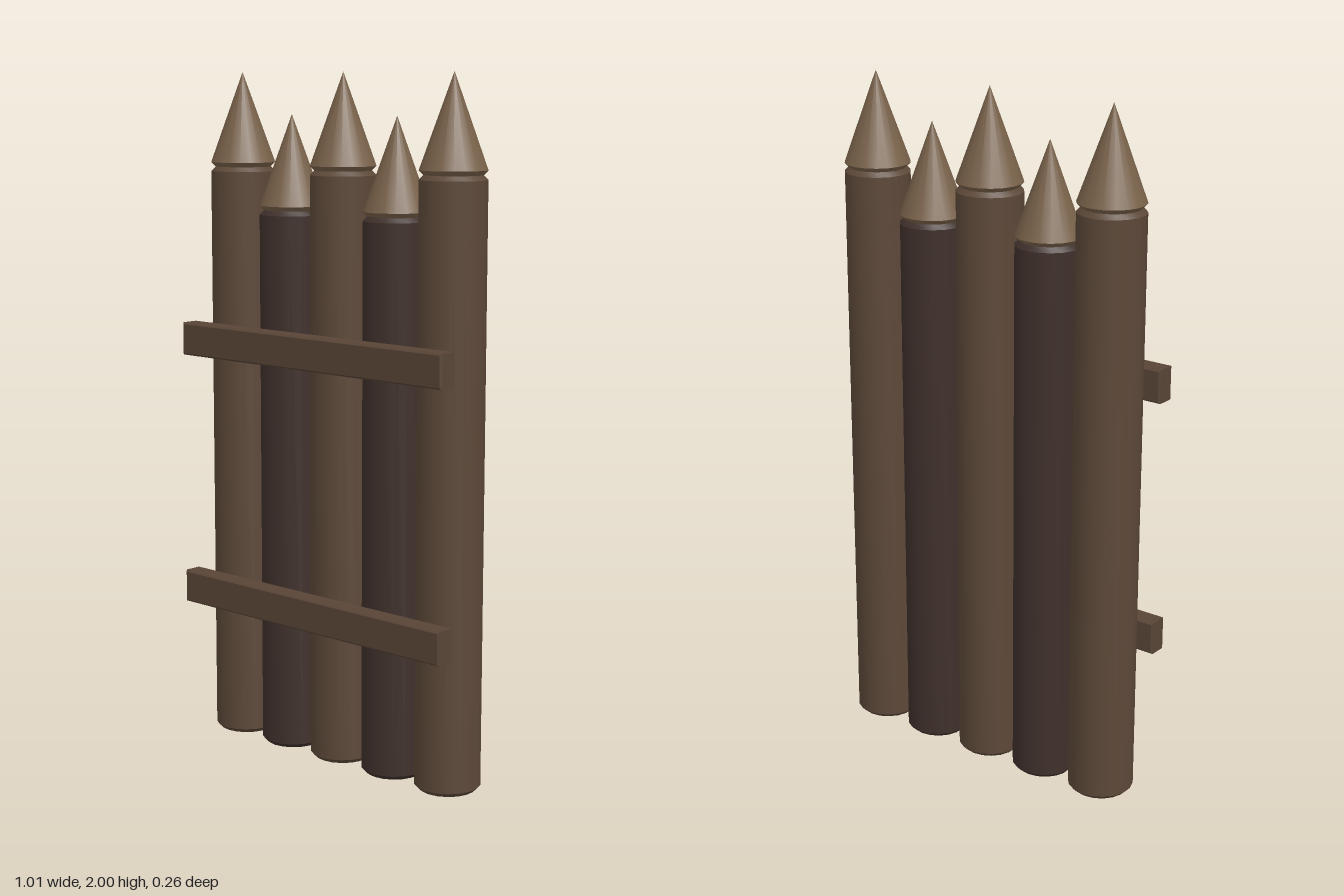
import * as THREE from 'three';
import { toCreasedNormals } from 'three/addons/utils/BufferGeometryUtils.js';

const SIDES = 18;
const RADIUS = 0.095;
const BEVEL = 0.013;
const POST_Z = -0.035;

const paint = (color) => new THREE.MeshStandardMaterial({ color });
const lightWood = paint(0x5c4838);
const darkWood = paint(0x3f302b);
const tipWood = paint(0x79624a);
const railWood = paint(0x594537);

// Turned solid from [radius, height] pairs, bottom to top
function turned(profile) {
  const points = profile.map(([r, y]) => new THREE.Vector2(r, y));
  return toCreasedNormals(new THREE.LatheGeometry(points, SIDES), Math.PI / 6);
}

// Round log with bevelled ends
function logGeometry(height) {
  const inner = RADIUS - BEVEL;
  return turned([[0, 0], [inner, 0], [RADIUS, BEVEL], [RADIUS, height - BEVEL], [inner, height], [0, height]]);
}

// Bar along x with chamfered edges
function railGeometry(length, height, depth, b) {
  const w = length / 2 - b, h = height / 2 - b, d = depth / 2 - b;
  const shape = new THREE.Shape([
    new THREE.Vector2(-w, -h), new THREE.Vector2(w, -h),
    new THREE.Vector2(w, h), new THREE.Vector2(-w, h),
  ]);
  const geometry = new THREE.ExtrudeGeometry(shape, {
    depth: 2 * d, bevelEnabled: true, bevelSize: b, bevelThickness: b, bevelSegments: 1,
  });
  return geometry.translate(0, 0, -d);
}

export function createModel() {
  const model = new THREE.Group();
  model.name = 'palisade';

  const add = (parent, name, geometry, material, x, y, z) => {
    const mesh = new THREE.Mesh(geometry, material);
    mesh.name = name;
    mesh.position.set(x, y, z);
    parent.add(mesh);
  };

  // Sharpened posts, alternating tall and short
  const tip = turned([[0, 0], [RADIUS - BEVEL, 0], [RADIUS, BEVEL], [0, 0.275]]);
  for (let i = 0; i < 5; i++) {
    const tall = i % 2 === 0;
    const height = tall ? 1.725 : 1.605;
    const post = new THREE.Group();
    post.name = `post${i + 1}`;
    post.position.set((i - 2) * 0.202, 0, POST_Z);
    add(post, 'log', logGeometry(height), tall ? lightWood : darkWood, 0, 0, 0);
    add(post, 'pointedTip', tip, tipWood, 0, height, 0);
    model.add(post);
  }

  // Cross rails standing just in front of the posts
  const rail = railGeometry(1.006, 0.097, 0.06, 0.005);
  add(model, 'lowerRail', rail, railWood, 0, 0.458, 0.098);
  add(model, 'upperRail', rail, railWood, 0, 1.217, 0.098);

  return model;
}
